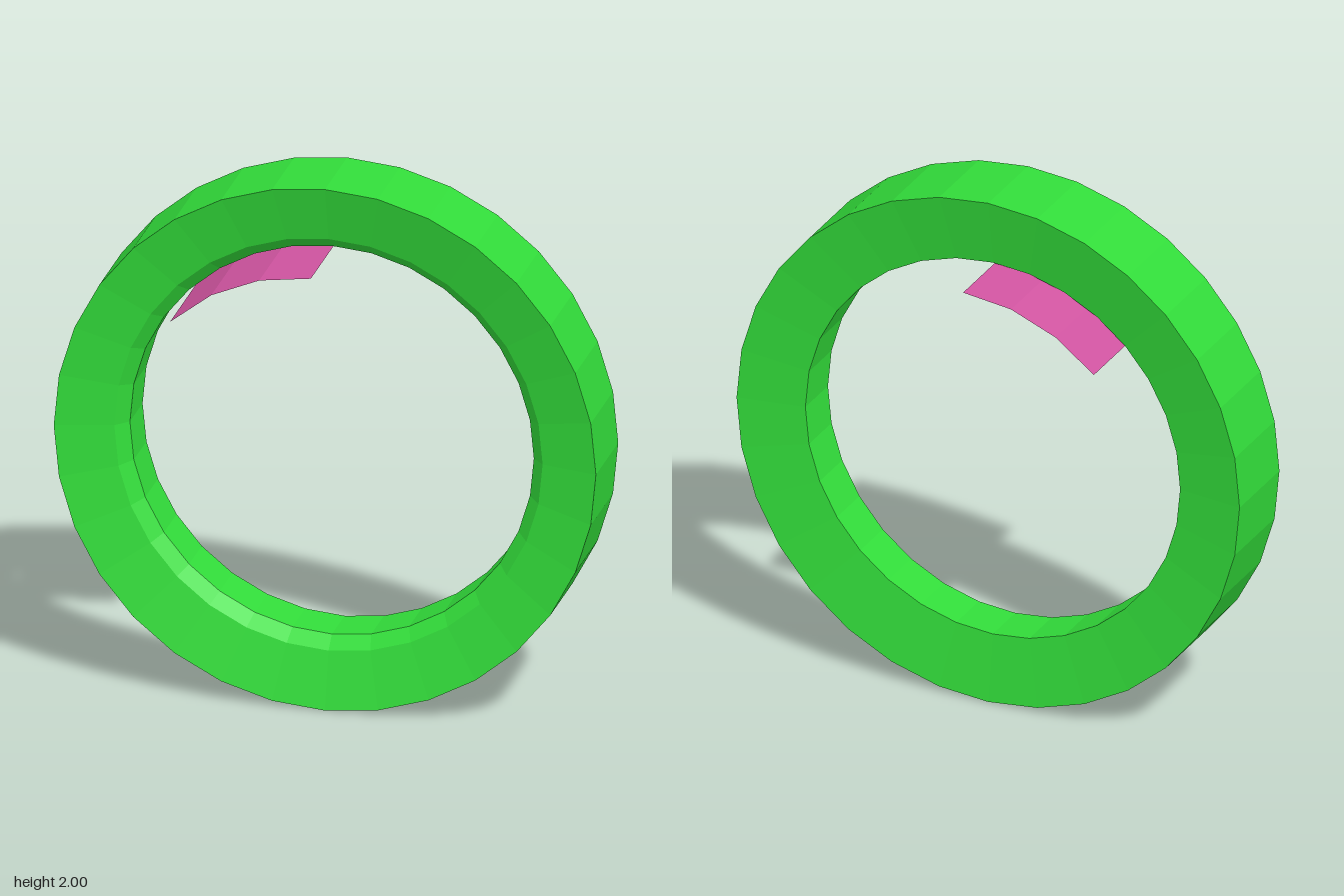
import * as THREE from 'three';

const material = (color) =>
  new THREE.MeshStandardMaterial({ color, flatShading: true, side: THREE.DoubleSide });

export function createModel() {
  const group = new THREE.Group();

  // Ring: dished front and back faces, bevelled front lip, 32 sides
  const profile = [
    [0.745, -0.125], [1, -0.163], [1, 0.163], [0.79, 0.11], [0.745, 0.06], [0.745, -0.125],
  ].map(([r, z]) => new THREE.Vector2(r, z));
  const ring = new THREE.Mesh(
    new THREE.LatheGeometry(profile, 32).rotateX(Math.PI / 2),
    material(0x32dc3a),
  );
  ring.name = 'ring';
  ring.position.y = 1;
  group.add(ring);

  // Thin curved strip inside the ring, from the top to 45 degrees on the -x side
  const strip = new THREE.Mesh(
    new THREE.CylinderGeometry(0.735, 0.735, 0.735, 3, 1, true, Math.PI, Math.PI / 4).rotateX(Math.PI / 2),
    material(0xd054a0),
  );
  strip.name = 'curvedStrip';
  strip.position.y = 1;
  group.add(strip);

  return group;
}
